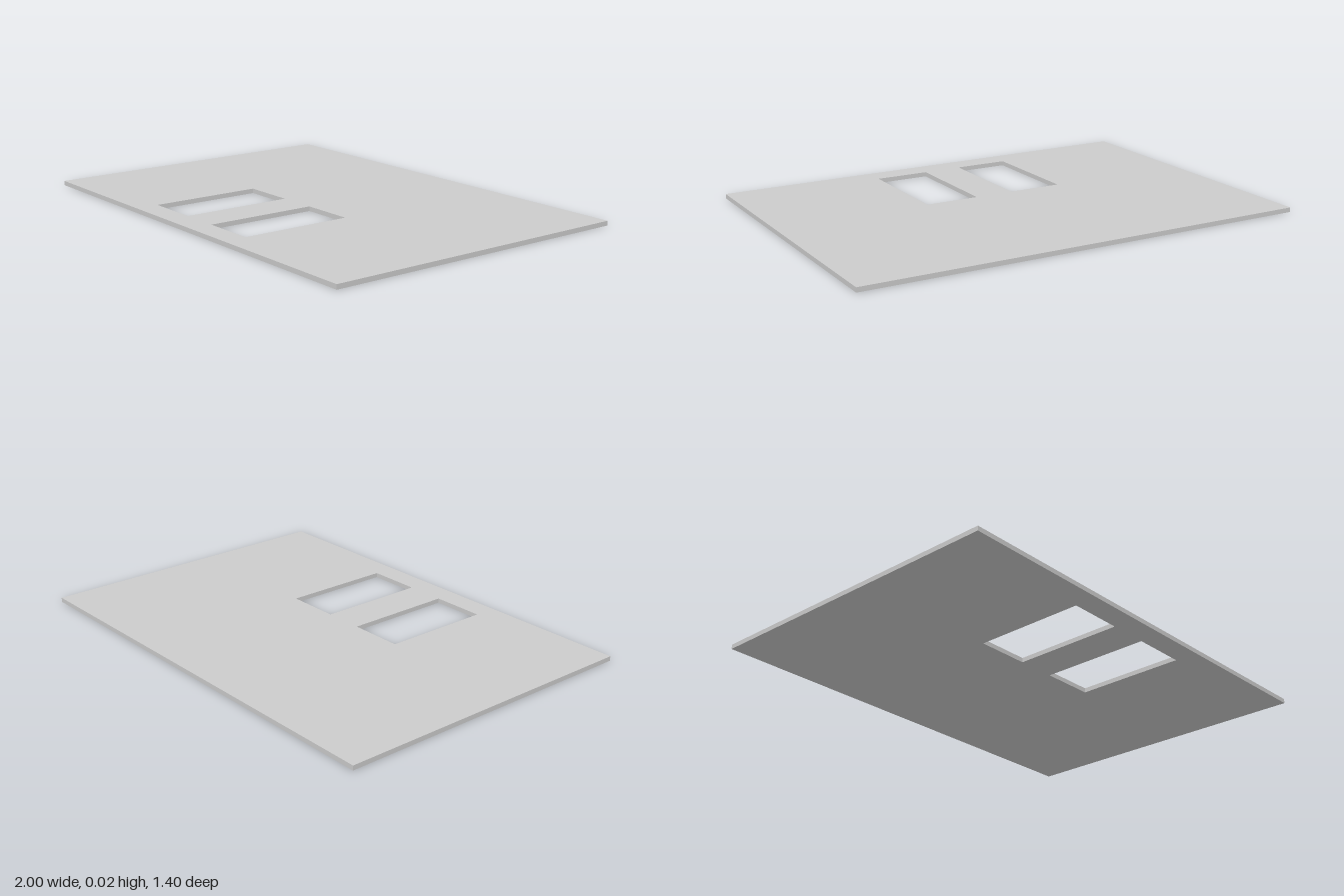
import * as THREE from 'three';

// Adds a rectangle in plan (x, z) to a shape or hole path; plan z is drawn as -y
function rectangle(path, x0, x1, z0, z1) {
  path.moveTo(x0, -z1);
  path.lineTo(x1, -z1);
  path.lineTo(x1, -z0);
  path.lineTo(x0, -z0);
  path.closePath();
  return path;
}

export function createModel() {
  const group = new THREE.Group();
  const thickness = 0.02;

  // Flat slab with two rectangular openings near the front edge
  const outline = rectangle(new THREE.Shape(), -1, 1, -0.7, 0.7);
  const openingWidth = 0.24;
  for (const x of [-0.345, 0.07]) {
    outline.holes.push(rectangle(new THREE.Path(), x, x + openingWidth, 0.107, 0.6));
  }

  const geometry = new THREE.ExtrudeGeometry(outline, { depth: thickness, bevelEnabled: false });
  geometry.rotateX(-Math.PI / 2); // lay flat, standing on y = 0

  const slab = new THREE.Mesh(geometry, new THREE.MeshStandardMaterial({ color: 0xcccccc }));
  slab.name = 'slab';
  group.add(slab);
  return group;
}
